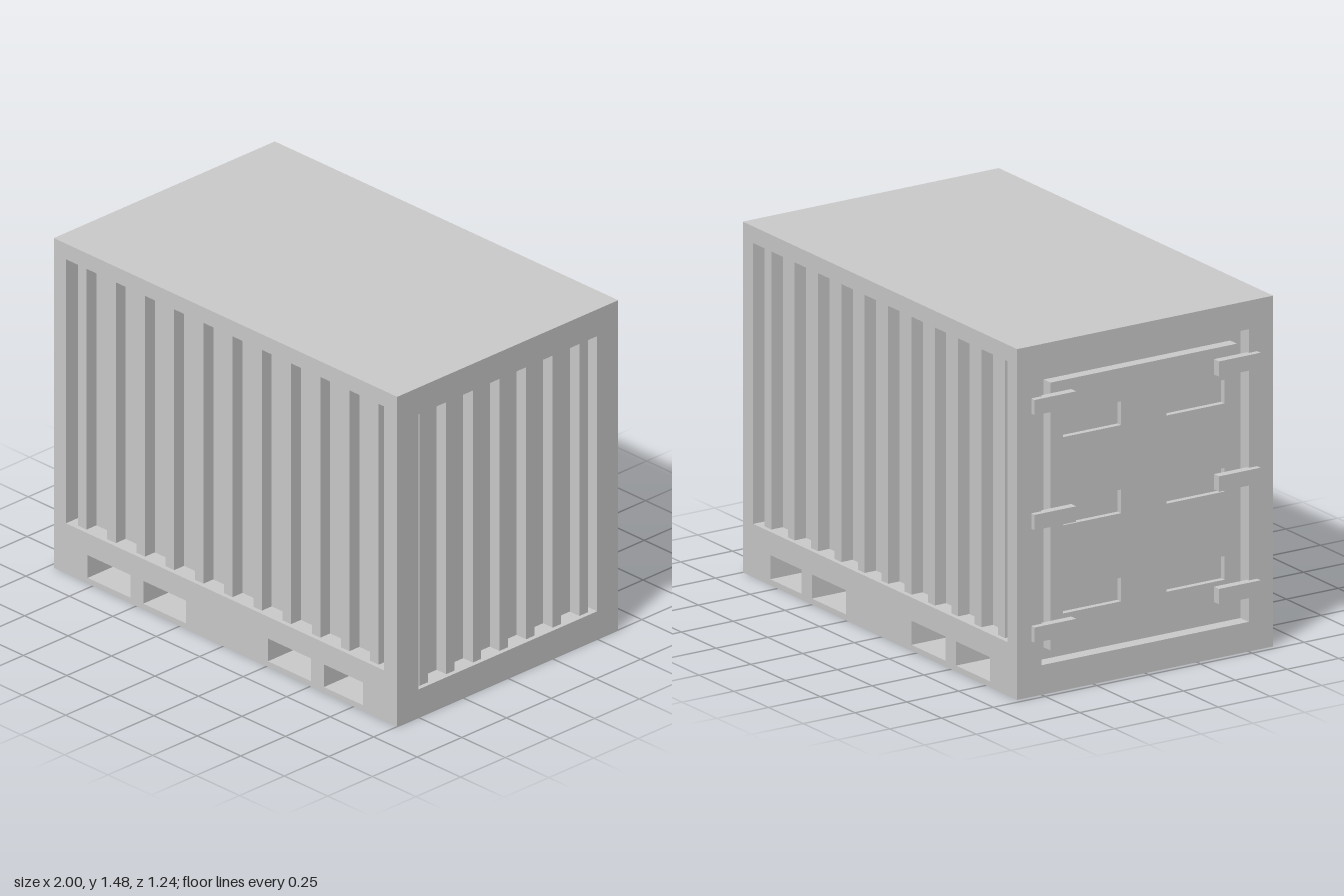
import * as THREE from 'three';

const X0 = -0.975, X1 = 1, Z = 0.618, H = 1.48, D = 0.075, DOOR_D = 0.06;

// Forklift pockets: [left, bottom, right, top]
const pockets = [[-0.78, 0.025, -0.535, 0.127], [-0.46, 0.025, -0.214, 0.127],
  [0.257, 0.025, 0.503, 0.127], [0.578, 0.025, 0.802, 0.127]];

function createMaterial() {
  return new THREE.MeshStandardMaterial({ color: 0xcccccc, flatShading: true });
}

// Rectangular plate with rectangular holes, extruded along +z
function plate([l, b, r, t], holes, depth) {
  const corners = ([x0, y0, x1, y1]) => [[x0, y0], [x1, y0], [x1, y1], [x0, y1]]
    .map(([x, y]) => new THREE.Vector2(x, y));
  const shape = new THREE.Shape(corners([l, b, r, t]));
  for (const h of holes) shape.holes.push(new THREE.Path(corners(h)));
  return new THREE.ExtrudeGeometry(shape, { depth, bevelEnabled: false });
}

export function createModel() {
  const group = new THREE.Group();
  const material = createMaterial();

  const add = (name, geometry) => {
    const mesh = new THREE.Mesh(geometry, material);
    mesh.name = name;
    group.add(mesh);
    return mesh;
  };
  const box = (name, x0, x1, y0, y1, z0, z1) => {
    const mesh = add(name, new THREE.BoxGeometry(x1 - x0, y1 - y0, z1 - z0));
    mesh.position.set((x0 + x1) / 2, (y0 + y1) / 2, (z0 + z1) / 2);
  };

  // Inner body, with the forklift tunnels running through it
  const zi = Z - D;
  add('body', plate([X0 + DOOR_D, 0, X1 - D, H], pockets, 2 * zi)).position.z = -zi;

  // Long side frames with a window for the corrugated wall
  const sideWindow = [-0.905, 0.225, 0.925, 1.41];
  for (const [name, z] of [['frontFrame', zi], ['backFrame', -Z]]) {
    add(name, plate([X0, 0, X1, H], [sideWindow, ...pockets], D)).position.z = z;
  }

  // Vertical ribs on the long sides
  for (let i = 0; i < 11; i++) {
    const x = -0.856 + i * 0.168;
    box('frontRib', x, x + 0.049, 0.225, 1.41, zi - 0.005, Z - 0.02);
    box('backRib', x, x + 0.049, 0.225, 1.41, -Z + 0.02, -zi + 0.005);
  }

  // End frames
  const endWindow = [-0.5, 0.125, 0.5, 1.36];
  const endFrame = (name, x, depth) => {
    const mesh = add(name, plate([-zi, 0, zi, H], [endWindow], depth));
    mesh.rotation.y = Math.PI / 2;
    mesh.position.x = x;
  };
  endFrame('ribbedEndFrame', X1 - D, D);
  endFrame('doorFrame', X0, DOOR_D);

  // Vertical ribs on the closed end
  for (let i = 0; i < 7; i++) {
    const z = -0.467 + i * 0.149;
    box('endRib', X1 - D - 0.005, X1 - 0.02, 0.125, 1.36, z, z + 0.047);
  }

  // Door: backing and a front panel pierced by six shallow recesses
  const recesses = [];
  for (const y of [0.32, 0.692, 1.064]) {
    recesses.push([-0.39, y, -0.11, y + 0.1], [0.11, y, 0.39, y + 0.1]);
  }
  const doorRect = [-0.45, 0.175, 0.45, 1.305];
  const front = X0 + 0.011, mid = front + 0.025;
  const panel = add('doorPanel', plate(doorRect, recesses, mid - front));
  panel.rotation.y = Math.PI / 2;
  panel.position.x = front;
  box('doorBacking', mid, X0 + DOOR_D + 0.005, 0.175, 1.305, -0.45, 0.45);

  // Hinge straps bridging the door and its frame
  for (const y of [0.235, 0.71, 1.195]) {
    box('hinge', -1, front, y, y + 0.065, -0.55, -0.35);
    box('hinge', -1, front, y, y + 0.065, 0.34, 0.54);
  }

  return group;
}
